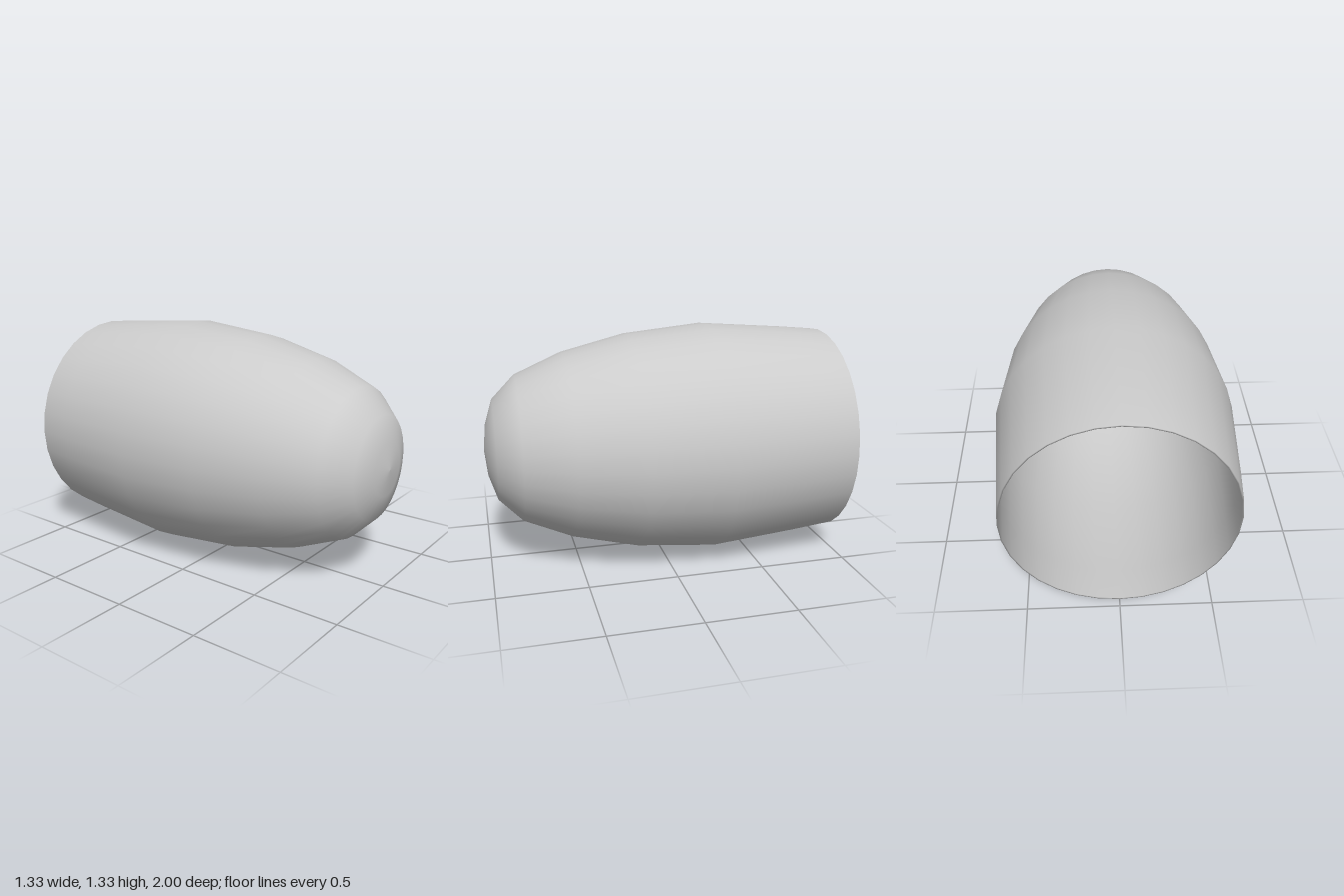
import * as THREE from 'three';

const SIDES = 32;
const CENTRE_Y = 0.664;
const WALL = 0.008;

// Outer outline as [radius, z], from the open rear rim to the rounded nose
const OUTLINE = [
  [0.605, -1], [0.624, -0.8], [0.664, -0.29], [0.62, 0.17], [0.53, 0.54],
  [0.415, 0.81], [0.285, 0.94], [0.145, 0.985], [0, 1],
];

export function createModel() {
  const group = new THREE.Group();
  group.name = 'hollowShell';

  // The thin wall runs down the inside, folds over the rim and returns outside
  const outer = OUTLINE.map(([r, z]) => new THREE.Vector2(r, z));
  const inner = OUTLINE.map(([r, z]) =>
    new THREE.Vector2(Math.max(r - WALL, 0), z > 0.5 ? z - WALL : z)).reverse();

  const geometry = new THREE.LatheGeometry([...inner, ...outer], SIDES);
  geometry.rotateX(Math.PI / 2);

  const material = new THREE.MeshStandardMaterial({ color: 0xcccccc });
  const shell = new THREE.Mesh(geometry, material);
  shell.name = 'shell';
  shell.position.y = CENTRE_Y;
  group.add(shell);

  return group;
}
